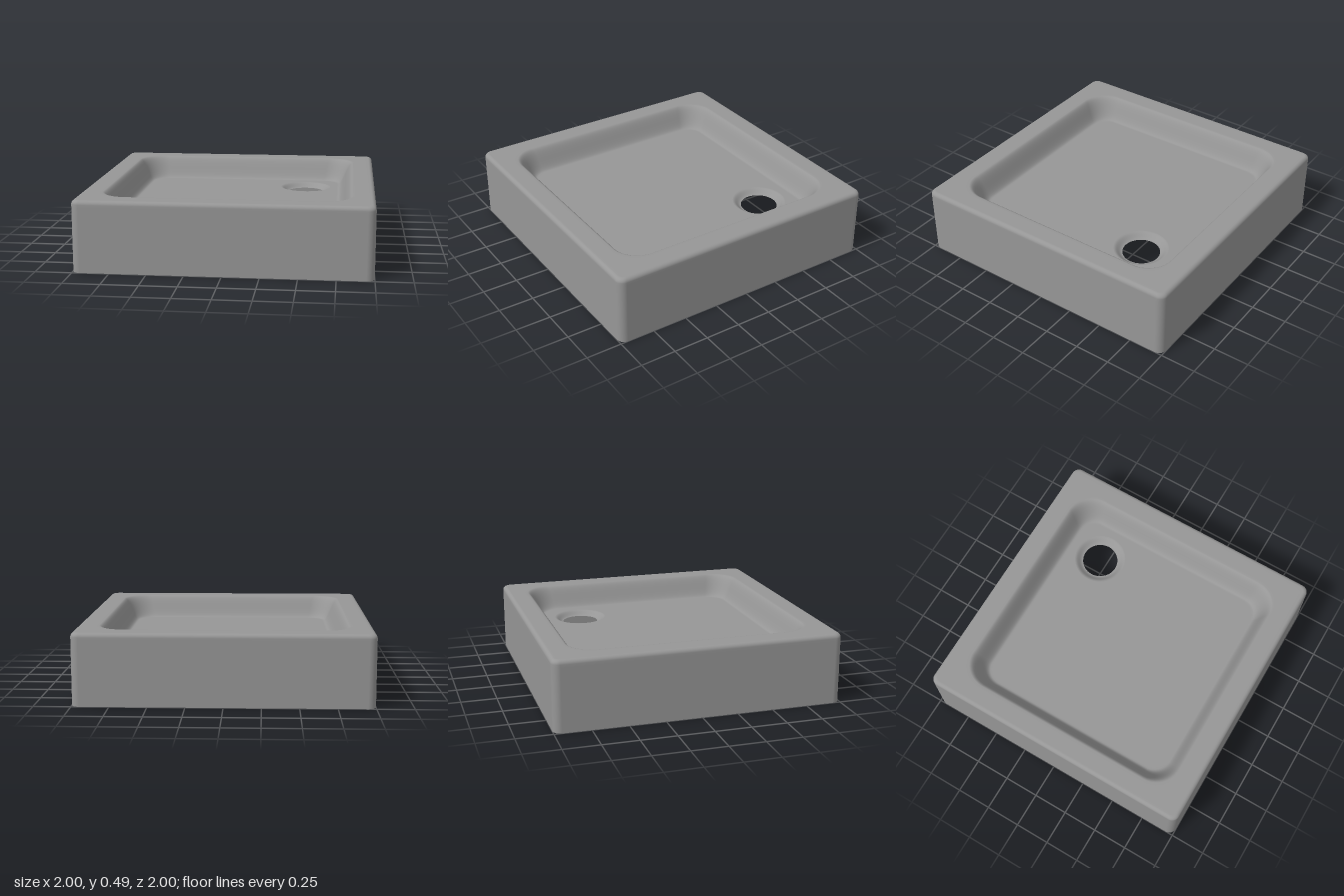
import * as THREE from 'three';

const TOP = 0.49, FLOOR = 0.325, FLOOR_HALF = 0.725, FLOOR_RADIUS = 0.12;
const DRAIN = { x: 0.487, z: -0.485, dish: 0.19, hole: 0.13, depth: 0.035 };

// Plan outline of a rounded square, running from +x towards +z
function roundedSquare(half, radius, steps = 10) {
  const pts = [];
  for (let q = 0; q < 4; q++) {
    const mid = (q + 0.5) * Math.PI / 2;
    const cx = Math.sign(Math.cos(mid)) * (half - radius);
    const cz = Math.sign(Math.sin(mid)) * (half - radius);
    for (let i = 0; i <= steps; i++) {
      const a = (q + i / steps) * Math.PI / 2;
      pts.push(new THREE.Vector2(cx + radius * Math.cos(a), cz + radius * Math.sin(a)));
    }
  }
  return pts;
}

// Smooth skin through rounded squares given as [half width, corner radius, height]
function loft(sections) {
  const pos = [], index = [];
  let n = 0;
  for (const [half, radius, y] of sections) {
    const ring = roundedSquare(half, radius);
    n = ring.length;
    for (const p of ring) pos.push(p.x, y, p.y);
  }
  for (let s = 0; s < sections.length - 1; s++) {
    for (let i = 0; i < n; i++) {
      const j = (i + 1) % n, a = s * n + i, b = s * n + j;
      index.push(a, a + n, b, b, a + n, b + n);
    }
  }
  const geo = new THREE.BufferGeometry();
  geo.setAttribute('position', new THREE.Float32BufferAttribute(pos, 3));
  geo.setIndex(index);
  geo.computeVertexNormals();
  return geo;
}

export function createModel() {
  const group = new THREE.Group();
  group.name = 'showerTray';
  const enamel = new THREE.MeshStandardMaterial({ color: 0x969696, side: THREE.DoubleSide });
  enamel.name = 'grey enamel';
  const add = (name, geo) => {
    const mesh = new THREE.Mesh(geo, enamel);
    mesh.name = name;
    group.add(mesh);
    return mesh;
  };

  // Outer skirt, rounded top edge, flat rim and sloping basin wall in one skin
  const sections = [[1, 0.055, 0], [1, 0.055, 0.44]];
  const edge = 0.03;
  for (let i = 0; i <= 6; i++) {
    const a = i / 6 * Math.PI / 2;
    const inset = edge * (1 - Math.cos(a));
    sections.push([1 - inset, 0.055 - inset * 0.6, TOP - edge + edge * Math.sin(a)]);
  }
  sections.push([0.94, 0.05, TOP], [0.87, 0.2, TOP]);
  for (let i = 0; i <= 14; i++) {
    const t = i / 14;
    const drop = (1 - Math.cos(Math.PI * t)) / 2;
    sections.push([
      THREE.MathUtils.lerp(0.85, FLOOR_HALF + 0.01, t),
      THREE.MathUtils.lerp(0.19, FLOOR_RADIUS, t),
      THREE.MathUtils.lerp(TOP, FLOOR, drop),
    ]);
  }
  sections.push([FLOOR_HALF, FLOOR_RADIUS, FLOOR]);
  add('skirtRimAndBasinWall', loft(sections));

  // Flat basin floor with an opening for the drain dish
  const floorShape = new THREE.Shape(roundedSquare(FLOOR_HALF, FLOOR_RADIUS));
  const opening = new THREE.Path();
  opening.absarc(DRAIN.x, -DRAIN.z, DRAIN.dish, 0, Math.PI * 2, true);
  floorShape.holes.push(opening);
  const floor = add('basinFloor', new THREE.ShapeGeometry(floorShape, 24).rotateX(-Math.PI / 2));
  floor.position.y = FLOOR;

  // Shallow dish easing down to the open drain hole
  const profile = [];
  for (let i = 0; i <= 10; i++) {
    const t = i / 10;
    profile.push(new THREE.Vector2(
      THREE.MathUtils.lerp(DRAIN.dish, DRAIN.hole, t),
      -DRAIN.depth * (1 - Math.cos(Math.PI * t)) / 2));
  }
  const dish = add('drainDish', new THREE.LatheGeometry(profile.reverse(), 48));
  // Inner-to-outer profile order faces down, so flip the winding and normals upwards
  const g = dish.geometry, idx = g.index;
  if (g.attributes.normal.getY(0) < 0) {
    const nrm = g.attributes.normal;
    for (let i = 0; i < nrm.count; i++) nrm.setXYZ(i, -nrm.getX(i), -nrm.getY(i), -nrm.getZ(i));
  }
  const [a, b, c] = [0, 1, 2].map(k => new THREE.Vector3().fromBufferAttribute(g.attributes.position, idx.getX(k)));
  if (b.sub(a).cross(c.sub(a)).y < 0) {
    for (let i = 0; i < idx.count; i += 3) {
      const t = idx.getX(i);
      idx.setX(i, idx.getX(i + 1));
      idx.setX(i + 1, t);
    }
  }
  dish.position.set(DRAIN.x, FLOOR, DRAIN.z);

  return group;
}
